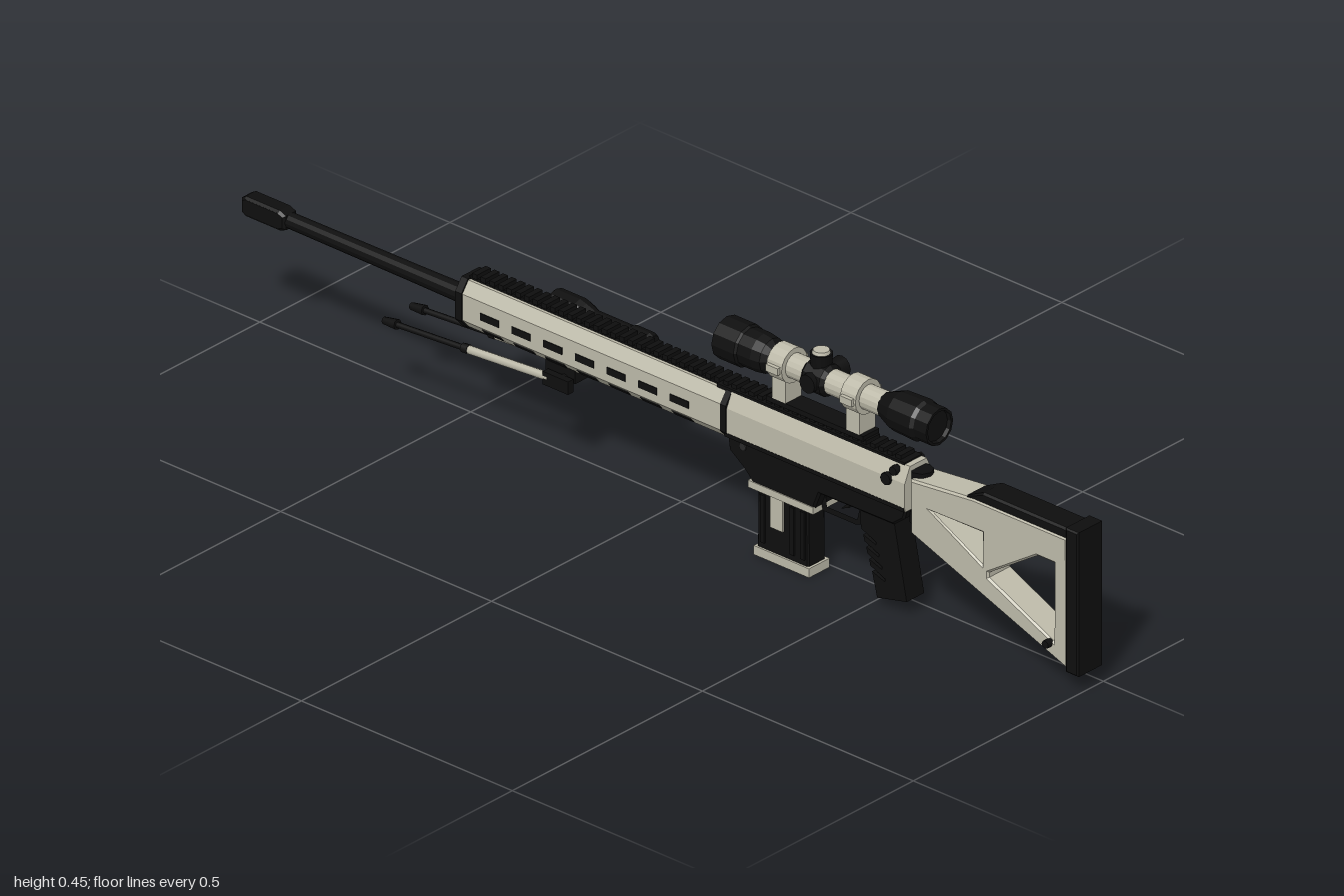
import * as THREE from 'three';

export function createModel() {
  const mat = (name, color) => {
    const m = new THREE.MeshStandardMaterial({ color });
    m.name = name;
    return m;
  };
  const tan = mat('pale tan', 0xbdbaa9);
  const black = mat('matte black', 0x0e0e0e);
  const grey = mat('dark grey', 0x2a2a2a);

  const model = new THREE.Group();
  model.name = 'rifle';
  const body = new THREE.Group(); // everything is built around its own x = 0
  body.name = 'body';
  body.position.x = -0.034;
  model.add(body);

  const add = (name, geo, m) => {
    const mesh = new THREE.Mesh(geo, m);
    mesh.name = name;
    body.add(mesh);
    return mesh;
  };
  const box = (name, m, x0, x1, y0, y1, z0, z1) => {
    const mesh = add(name, new THREE.BoxGeometry(x1 - x0, y1 - y0, z1 - z0), m);
    mesh.position.set((x0 + x1) / 2, (y0 + y1) / 2, (z0 + z1) / 2);
    return mesh;
  };
  const vecs = pts => pts.map(p => new THREE.Vector2(p[0], p[1]));
  // Side profile of [z, y] points, extruded across the width
  const side = (name, m, pts, width, holes = [], bevel = 0) => {
    const shape = new THREE.Shape(vecs(pts));
    holes.forEach(h => shape.holes.push(new THREE.Path(vecs(h))));
    const geo = new THREE.ExtrudeGeometry(shape, {
      depth: width - 2 * bevel, bevelEnabled: bevel > 0, bevelSize: bevel,
      bevelThickness: bevel, bevelOffset: -bevel, bevelSegments: 1,
    });
    geo.translate(0, 0, -(width - 2 * bevel) / 2).rotateY(-Math.PI / 2);
    return add(name, geo, m);
  };
  // Turned part along z from [radius, z] points, z rising
  const turned = (name, m, pts, x, y, sides = 16) => {
    const geo = new THREE.LatheGeometry(vecs(pts), sides).toNonIndexed();
    geo.computeVertexNormals();
    geo.rotateX(Math.PI / 2).translate(x, y, 0);
    return add(name, geo, m);
  };
  const rod = (name, m, a, b, r0, r1 = r0, sides = 8) => {
    const A = new THREE.Vector3(...a), B = new THREE.Vector3(...b);
    const mesh = add(name, new THREE.CylinderGeometry(r1, r0, A.distanceTo(B), sides), m);
    mesh.position.copy(A).add(B).multiplyScalar(0.5);
    mesh.quaternion.setFromUnitVectors(new THREE.Vector3(0, 1, 0), B.sub(A).normalize());
    return mesh;
  };

  // Stock with two triangular openings
  side('stock', tan,
    [[0.972, 0.04], [0.972, 0.3], [0.75, 0.3], [0.6, 0.285], [0.6, 0.178]], 0.062,
    [[[0.94, 0.24], [0.9, 0.24], [0.785, 0.165], [0.785, 0.155], [0.94, 0.082]],
     [[0.77, 0.24], [0.645, 0.24], [0.77, 0.175]]], 0.004);
  side('buttPlate', black, [[0.97, 0.034], [1, 0.034], [1, 0.322], [0.97, 0.322]], 0.067, [], 0.003);
  side('cheekRest', black, [[0.972, 0.292], [0.972, 0.318], [0.77, 0.318], [0.725, 0.296], [0.78, 0.292]], 0.056, [], 0.004);
  rod('stockPin', black, [-0.042, 0.078, 0.93], [0.042, 0.078, 0.93], 0.008);
  rod('stockHinge', black, [0, 0.19, 0.6], [0, 0.295, 0.6], 0.022);

  // Receiver: a bevelled upper shell and a stepped lower housing
  const across = (name, m, pts, z0, z1, hole) => {
    const shape = new THREE.Shape(vecs(pts));
    if (hole) shape.holes.push(new THREE.Path(vecs(hole)));
    const geo = new THREE.ExtrudeGeometry(shape, { depth: z1 - z0, bevelEnabled: false });
    geo.translate(0, 0, z0);
    return add(name, geo, m);
  };
  across('receiver', tan, [[-0.034, 0.218], [0.034, 0.218], [0.036, 0.225], [0.036, 0.275],
    [0.022, 0.305], [-0.022, 0.305], [-0.036, 0.275], [-0.036, 0.225]], 0.165, 0.592);
  side('lowerReceiver', black, [[0.592, 0.225], [0.165, 0.225], [0.17, 0.19], [0.205, 0.165], [0.23, 0.14],
    [0.37, 0.14], [0.385, 0.178], [0.56, 0.18], [0.585, 0.2]], 0.062, [], 0.004);
  box('receiverSeam', black, -0.0365, 0.0365, 0.218, 0.226, 0.165, 0.59);
  box('ejectionPort', black, 0.03, 0.0385, 0.25, 0.281, 0.24, 0.327);
  box('ejectionBolt', grey, 0.035, 0.04, 0.262, 0.27, 0.25, 0.31);
  rod('chargingHandle', black, [-0.038, 0.292, 0.565], [0.038, 0.292, 0.565], 0.009);
  for (const s of [-1, 1]) {
    rod('selector', black, [s * 0.03, 0.272, 0.55], [s * 0.041, 0.272, 0.55], 0.012);
    rod('receiverPin', grey, [s * 0.028, 0.21, 0.205], [s * 0.034, 0.21, 0.205], 0.008);
  }

  // Trigger and guard
  side('triggerGuard', black, [[0.48, 0.185], [0.47, 0.142], [0.455, 0.135], [0.375, 0.135], [0.365, 0.185]], 0.022,
    [[[0.465, 0.178], [0.457, 0.146], [0.385, 0.146], [0.382, 0.178]]]);
  side('trigger', black, [[0.435, 0.18], [0.42, 0.18], [0.425, 0.162], [0.413, 0.15], [0.432, 0.158]], 0.01);

  // Grip with notched front
  const grip = [[0.553, 0.192], [0.475, 0.192], [0.476, 0.148]];
  for (let i = 0; i < 4; i++) {
    const y = 0.14 - i * 0.022, z = 0.478 + i * 0.007;
    grip.push([z, y], [z + 0.034, y - 0.014], [z + 0.034, y - 0.02], [z + 0.004, y - 0.01]);
  }
  grip.push([0.515, 0.016], [0.585, 0.032]);
  side('grip', black, grip, 0.046);

  // Magazine
  side('magazine', black, [[0.352, 0.01], [0.23, 0.01], [0.232, 0.16], [0.35, 0.16]], 0.046, [], 0.003);
  box('magazineBase', tan, -0.027, 0.027, 0, 0.018, 0.226, 0.357);
  box('magazineCollar', tan, -0.033, 0.033, 0.134, 0.148, 0.218, 0.372);
  for (const s of [-1, 1]) {
    box('magazineWindow', tan, s * 0.0245 - 0.002, s * 0.0245 + 0.002, 0.068, 0.13, 0.264, 0.294);
    for (const z of [0.24, 0.31, 0.335])
      box('magazineRib', black, s * 0.0245 - 0.002, s * 0.0245 + 0.002, 0.03, 0.125, z, z + 0.01);
  }

  // Hollow eight-sided handguard
  const octagon = k => [[-0.02, 0.208], [0.02, 0.208], [0.038, 0.228], [0.038, 0.28],
    [0.022, 0.302], [-0.022, 0.302], [-0.038, 0.28], [-0.038, 0.228]]
    .map(([x, y]) => [x * k, 0.254 + (y - 0.254) * k]);
  across('handguard', tan, octagon(1), -0.458, 0.165, octagon(0.8).reverse());
  across('handguardCap', black, octagon(1.06), -0.47, -0.455, octagon(0.86).reverse());
  across('handguardCollar', black, octagon(1.03), 0.157, 0.17);
  for (let i = 0; i < 7; i++) {
    const z = 0.06 - i * 0.075;
    box('sideSlot', black, -0.0395, -0.036, 0.244, 0.258, z - 0.022, z + 0.022);
    box('bottomSlot', black, -0.007, 0.007, 0.2065, 0.21, z - 0.022, z + 0.022);
    for (const s of [-1, 1]) { // slots on the lower slanted faces
      const slot = box('lowerSlot', black, -0.007, 0.007, -0.0015, 0.0015, z - 0.022, z + 0.022);
      slot.position.set(s * 0.029, 0.218, z);
      slot.rotation.z = s * 0.84;
    }
  }

  // Toothed top rail
  box('topRail', black, -0.016, 0.016, 0.298, 0.308, -0.458, 0.58);
  box('receiverRail', black, -0.023, 0.023, 0.3, 0.308, 0.135, 0.58);
  for (let z = -0.45; z < 0.57; z += 0.0205)
    box('railTooth', black, -0.018, 0.018, 0.306, 0.316, z, z + 0.012);

  // Barrel and vented muzzle
  turned('barrel', black, [[0, -0.91], [0.015, -0.91], [0.0165, -0.6], [0.018, -0.45], [0.018, 0.17]], 0, 0.254, 12);
  const vents = [0, 1, 2].map(i => {
    const z = -0.983 + i * 0.026;
    return [[z, 0.243], [z + 0.018, 0.243], [z + 0.018, 0.265], [z, 0.265]];
  });
  side('muzzle', black, [[-1, 0.24], [-0.99, 0.234], [-0.91, 0.234], [-0.895, 0.24],
    [-0.895, 0.268], [-0.91, 0.274], [-0.99, 0.274], [-1, 0.268]], 0.036, vents, 0.005);

  // Scope
  const sy = 0.393;
  turned('scopeTube', tan, [[0.024, 0.2], [0.024, 0.56]], 0, sy);
  turned('scopeObjective', black, [[0, 0.142], [0.034, 0.142], [0.036, 0.135], [0.041, 0.138], [0.041, 0.19],
    [0.037, 0.194], [0.037, 0.225], [0.034, 0.245], [0.024, 0.255]], 0, sy, 12);
  turned('scopeEyepiece', black, [[0.024, 0.515], [0.032, 0.535], [0.038, 0.55], [0.04, 0.605],
    [0.036, 0.612], [0.036, 0.642], [0.031, 0.642], [0.03, 0.634], [0, 0.634]], 0, sy, 12);
  box('scopeBase', black, -0.021, 0.021, 0.314, 0.324, 0.25, 0.48);
  for (const z of [0.28, 0.455]) {
    turned('scopeRing', tan, [[0.024, z - 0.018], [0.034, z - 0.018], [0.034, z + 0.018], [0.024, z + 0.018]], 0, sy);
    box('scopePost', tan, -0.021, 0.021, 0.322, 0.372, z - 0.016, z + 0.016);
    for (const s of [-1, 1]) box('ringLug', tan, s * 0.034 - 0.006, s * 0.034 + 0.006, 0.386, 0.4, z - 0.014, z + 0.014);
  }
  turned('turretHousing', black, [[0.024, 0.335], [0.031, 0.342], [0.031, 0.383], [0.024, 0.39]], 0, sy, 12);
  rod('topTurret', black, [0, 0.41, 0.362], [0, 0.442, 0.362], 0.019, 0.021, 12);
  rod('topTurretCap', tan, [0, 0.442, 0.362], [0, 0.448, 0.362], 0.017, 0.015, 12);
  rod('sideTurret', black, [0.02, sy, 0.362], [0.054, sy, 0.362], 0.018, 0.021, 12);
  rod('focusTurret', black, [-0.02, sy, 0.362], [-0.038, sy, 0.362], 0.018, 0.018, 12);

  // Side light
  turned('sideLight', black, [[0, -0.335], [0.025, -0.335], [0.027, -0.345], [0.03, -0.342], [0.03, -0.285], [0.026, -0.27],
    [0.019, -0.25], [0.019, -0.165], [0.022, -0.16], [0.022, -0.12], [0.018, -0.112], [0, -0.112]], 0.083, 0.253, 12);
  box('lightClamp', black, 0.036, 0.07, 0.24, 0.268, -0.25, -0.185);
  box('lightClampPlate', black, 0.037, 0.054, 0.226, 0.28, -0.24, -0.195);

  // Folded bipod
  box('bipodMount', black, -0.024, 0.024, 0.186, 0.212, -0.27, -0.2);
  rod('bipodAxle', black, [-0.043, 0.186, -0.225], [0.043, 0.186, -0.225], 0.012);
  for (const s of [-1, 1]) {
    const x = s * 0.036;
    box('bipodHinge', black, x - 0.007, x + 0.007, 0.172, 0.198, -0.26, -0.2);
    rod('bipodUpperLeg', tan, [x, 0.187, -0.25], [x, 0.173, -0.45], 0.008);
    rod('bipodLowerLeg', black, [x, 0.175, -0.42], [x, 0.161, -0.63], 0.0055);
    rod('bipodCollar', black, [x, 0.174, -0.44], [x, 0.173, -0.455], 0.009);
    rod('bipodFoot', black, [x, 0.163, -0.61], [x, 0.16, -0.642], 0.01, 0.007);
  }
  return model;
}
